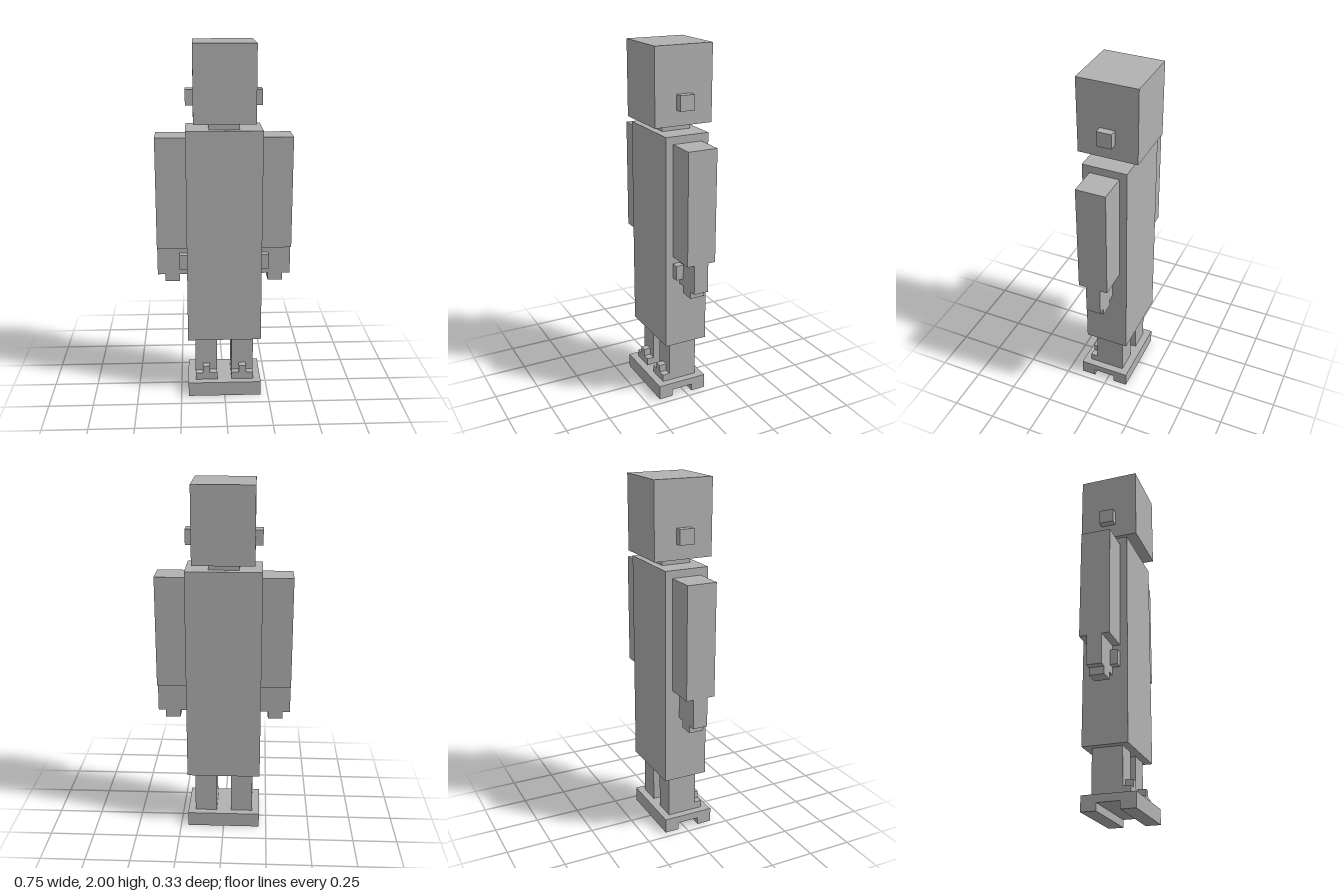
import * as THREE from 'three';

const U = 2 / 48; // one block unit; the figure is 48 units tall

export function createModel() {
  const model = new THREE.Group();
  model.name = 'blockFigure';
  const grey = new THREE.MeshStandardMaterial({ color: 0xb2b2b2 });
  grey.name = 'plain grey';

  // Box between two corners, given in block units
  function block(parent, name, [x0, y0, z0], [x1, y1, z1]) {
    const mesh = new THREE.Mesh(
      new THREE.BoxGeometry((x1 - x0) * U, (y1 - y0) * U, (z1 - z0) * U), grey);
    mesh.position.set((x0 + x1) / 2 * U, (y0 + y1) / 2 * U, (z0 + z1) / 2 * U);
    mesh.name = name;
    parent.add(mesh);
  }

  // Same box on the left (+x) or mirrored to the right (-x)
  function sideBlock(parent, side, name, [x0, y0, z0], [x1, y1, z1]) {
    if (side > 0) block(parent, name, [x0, y0, z0], [x1, y1, z1]);
    else block(parent, name, [-x1, y0, z0], [-x0, y1, z1]);
  }

  function part(name) {
    const group = new THREE.Group();
    group.name = name;
    model.add(group);
    return group;
  }

  // Head, neck and body
  block(model, 'head', [-4, 38, -4], [4, 48, 4]);
  block(model, 'neck', [-2, 37, -2], [2, 38, 2]);
  block(model, 'body', [-5, 8, -3], [5, 37, 3]);

  for (const [side, label] of [[1, 'left'], [-1, 'right']]) {
    sideBlock(model, side, label + 'Ear', [4, 40, -1], [5, 42, 1]);

    // Sleeve with hand, fingers and forward thumb
    const arm = part(label + 'Arm');
    sideBlock(arm, side, 'sleeve', [5, 21, -2], [9, 36, 2]);
    sideBlock(arm, side, 'hand', [5, 17, -1], [9, 21, 1]);
    sideBlock(arm, side, 'fingers', [6, 16, -1], [8, 17, 1]);
    sideBlock(arm, side, 'thumb', [5, 18, 1], [6, 20, 2]);

    // Leg with stepped toe
    const leg = part(label + 'Leg');
    sideBlock(leg, side, 'shin', [1, 2, -2], [4, 8, 2]);
    sideBlock(leg, side, 'toe', [1, 2, 2], [4, 3, 3]);
    sideBlock(leg, side, 'toeKnob', [2, 3, 2], [3, 4, 3]);
  }

  // Sandal base: a deck on two cross bars
  const base = part('base');
  block(base, 'deck', [-5, 1, -3], [5, 2, 4]);
  block(base, 'frontBar', [-5, 0, 2], [5, 1, 4]);
  block(base, 'rearBar', [-5, 0, -3], [5, 1, -1]);

  return model;
}
